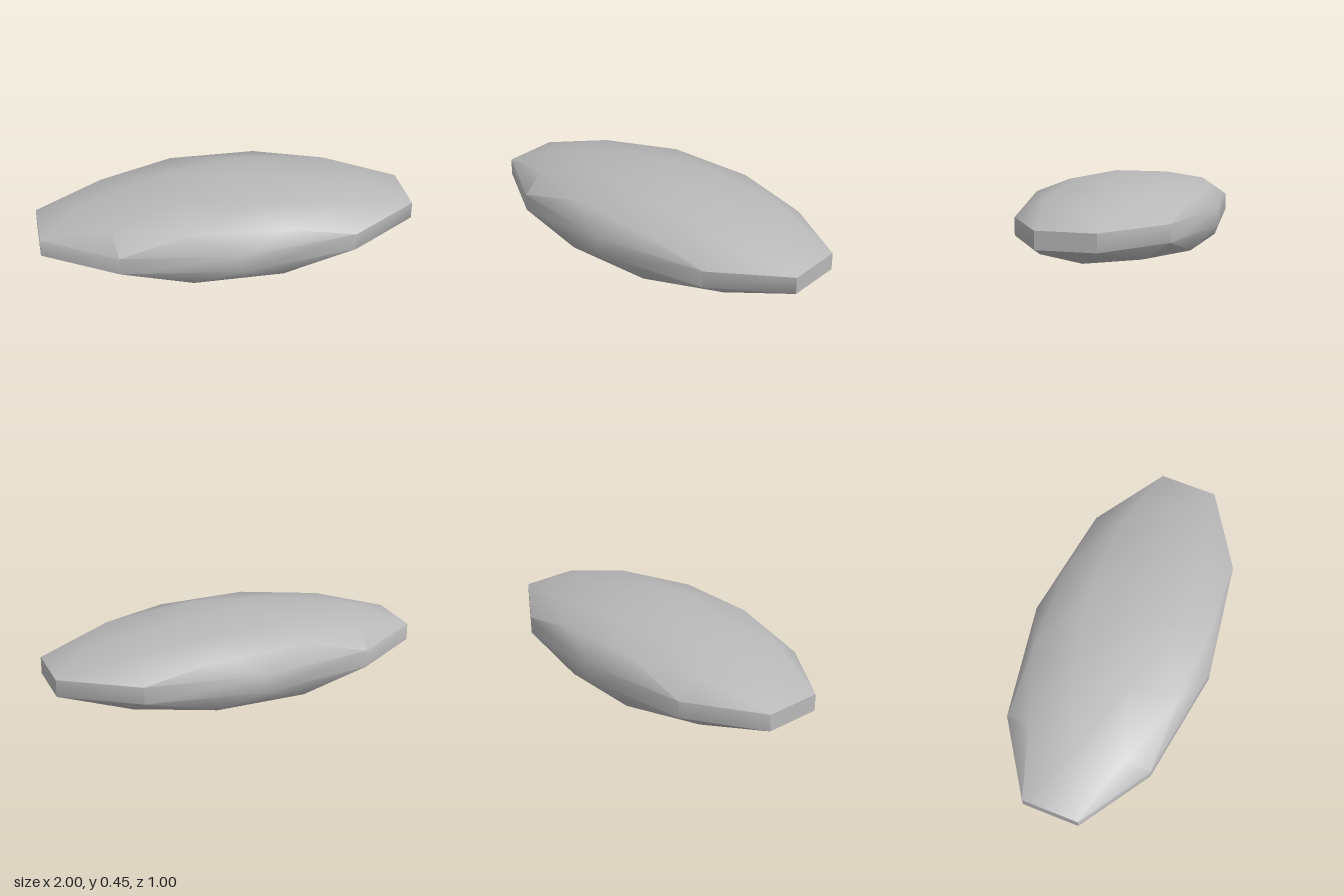
import * as THREE from 'three';
import { toCreasedNormals } from 'three/addons/utils/BufferGeometryUtils.js';

const HEIGHT = 0.448;

// Point on a level: angle in degrees, x radius, z radius, height
function point(angle, rx, rz, y) {
  const a = THREE.MathUtils.degToRad(angle);
  return new THREE.Vector3(Math.cos(a) * rx, y, Math.sin(a) * rz);
}

export function createModel() {
  const group = new THREE.Group();
  group.name = 'flattenedStone';
  const grey = new THREE.MeshStandardMaterial({ color: 0xb8b8b8 });
  grey.name = 'stone grey';

  // Levels of the faceted upper dome, five-fold up to the ten-sided rim
  const pole = new THREE.Vector3(0, HEIGHT, 0);
  const upper = (k) => point(72 * k, 0.368, 0.263, 0.42);
  const corner = (k) => point(72 * k, 0.788, 0.449, 0.356);
  const between = (k) => point(72 * k + 36, 0.75, 0.428, 0.371);
  const rim = (j) => point(18 + 36 * j, 1.0515, 0.5, 0.27);
  const opposite = (p) => new THREE.Vector3(-p.x, HEIGHT - p.y, -p.z);

  const positions = [];
  const face = (...pts) => pts.forEach((p) => positions.push(p.x, p.y, p.z));
  // Each dome face also makes its opposite face on the underside
  const domeFace = (a, b, c) => {
    face(a, c, b);
    face(opposite(a), opposite(b), opposite(c));
  };

  for (let k = 0; k < 5; k++) {
    const n = k + 1;
    domeFace(pole, upper(k), upper(n));
    domeFace(upper(k), corner(k), between(k));
    domeFace(upper(k), between(k), upper(n));
    domeFace(upper(n), between(k), corner(n));
    domeFace(corner(k), rim(2 * k), between(k));
    domeFace(between(k), rim(2 * k), rim(2 * k + 1));
    domeFace(between(k), rim(2 * k + 1), corner(n));
    domeFace(corner(k), rim(2 * k - 1), rim(2 * k));
  }

  // Upright band around the rim
  for (let j = 0; j < 10; j++) {
    const a = rim(j), b = rim(j + 1);
    const c = a.clone().setY(HEIGHT - a.y), d = b.clone().setY(HEIGHT - b.y);
    face(a, b, d);
    face(a, d, c);
  }

  const geometry = new THREE.BufferGeometry();
  geometry.setAttribute('position', new THREE.Float32BufferAttribute(positions, 3));
  const body = new THREE.Mesh(toCreasedNormals(geometry, 0.9), grey);
  body.name = 'stoneBody';
  group.add(body);
  return group;
}
